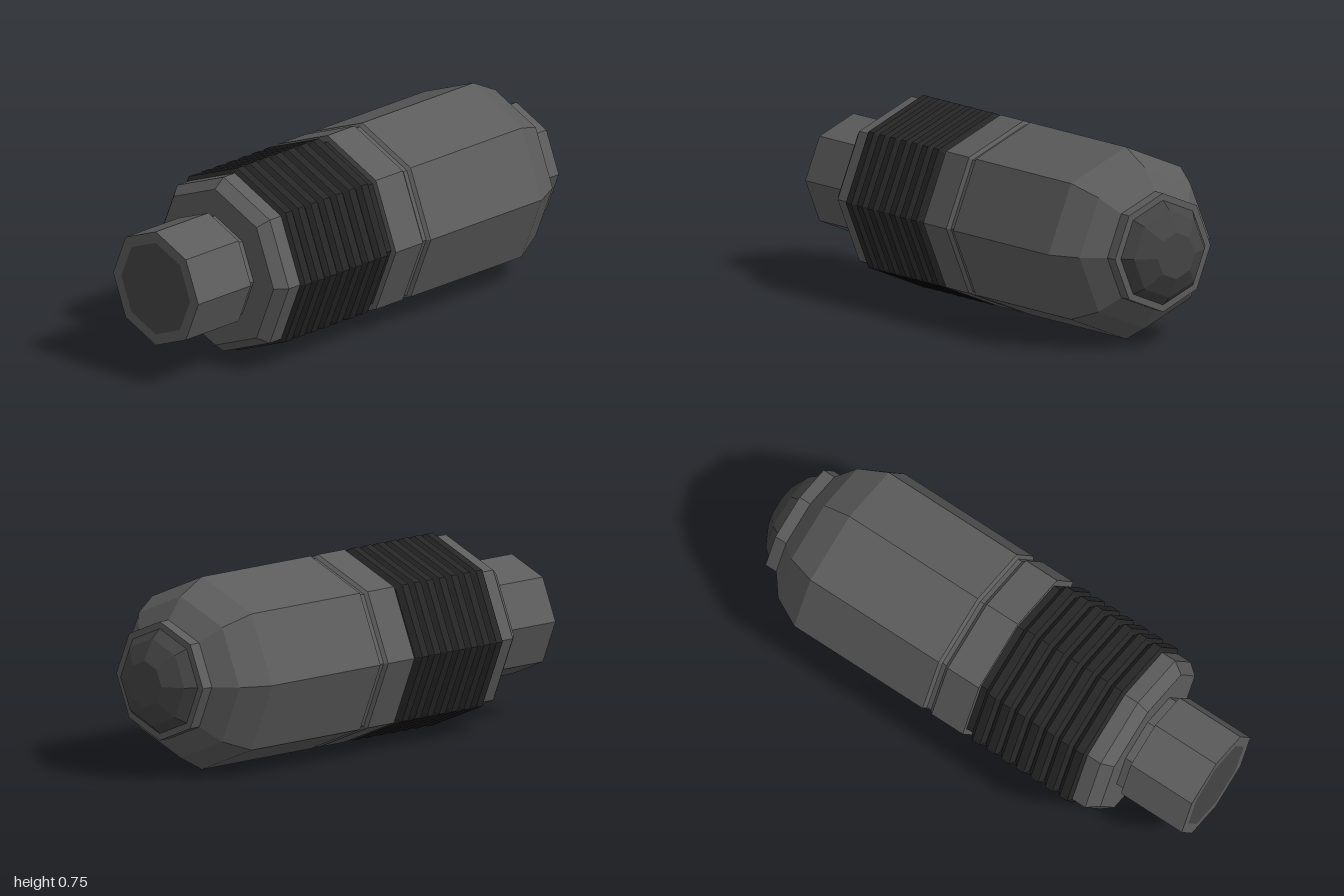
import * as THREE from 'three';

const SIDES = 8;
const AXIS_Y = 0.376;

const paint = (color) => new THREE.MeshStandardMaterial({ color, flatShading: true });

// Eight-sided turned part; profile is [radius, z] listed from back (-z) to front (+z)
function turned(name, profile, material) {
  const points = profile.map(([r, z]) => new THREE.Vector2(r, z));
  const geometry = new THREE.LatheGeometry(points, SIDES);
  geometry.rotateX(Math.PI / 2);
  const mesh = new THREE.Mesh(geometry, material);
  mesh.name = name;
  mesh.position.y = AXIS_Y;
  return mesh;
}

export function createModel() {
  const group = new THREE.Group();
  group.name = 'ribbedCanister';
  const shell = paint(0x5c5c5c);
  const rubber = paint(0x262626);
  const cap = paint(0x444444);

  // Domed nose at the back
  group.add(turned('nose', [
    [0, -1], [0.09, -1], [0.17, -0.957], [0.203, -0.917], [0.203, -0.9],
  ], cap));

  // Collar around the nose
  group.add(turned('noseCollar', [
    [0.19, -0.917], [0.23, -0.917], [0.23, -0.865],
  ], shell));

  // Main body with tapered shoulder and a shallow groove
  group.add(turned('body', [
    [0.2, -0.868], [0.23, -0.868], [0.313, -0.803], [0.373, -0.687],
    [0.373, -0.097], [0.36, -0.085], [0.36, -0.067], [0.373, -0.055],
    [0.373, 0.088], [0.3, 0.088],
  ], shell));

  // Grip sleeve: seven bevelled ribs
  const ribs = [[0.347, 0.08], [0.347, 0.115]];
  for (let i = 0; i < 7; i++) {
    const z = 0.149 + i * 0.067;
    ribs.push([0.352, z - 0.032], [0.373, z - 0.017], [0.373, z + 0.017], [0.352, z + 0.032]);
  }
  ribs.push([0.3, 0.585]);
  group.add(turned('gripSleeve', ribs, rubber));

  // Bevelled front shoulder
  group.add(turned('frontShoulder', [
    [0.356, 0.58], [0.356, 0.64], [0.319, 0.685], [0.19, 0.685],
  ], shell));

  // Neck and connector
  group.add(turned('neck', [[0.21, 0.68], [0.21, 0.725]], shell));
  group.add(turned('connector', [
    [0.2, 0.72], [0.232, 0.72], [0.232, 1], [0.187, 1],
  ], shell));

  // Flush plate closing the connector
  group.add(turned('connectorPlate', [[0.187, 1], [0, 1]], cap));

  return group;
}
